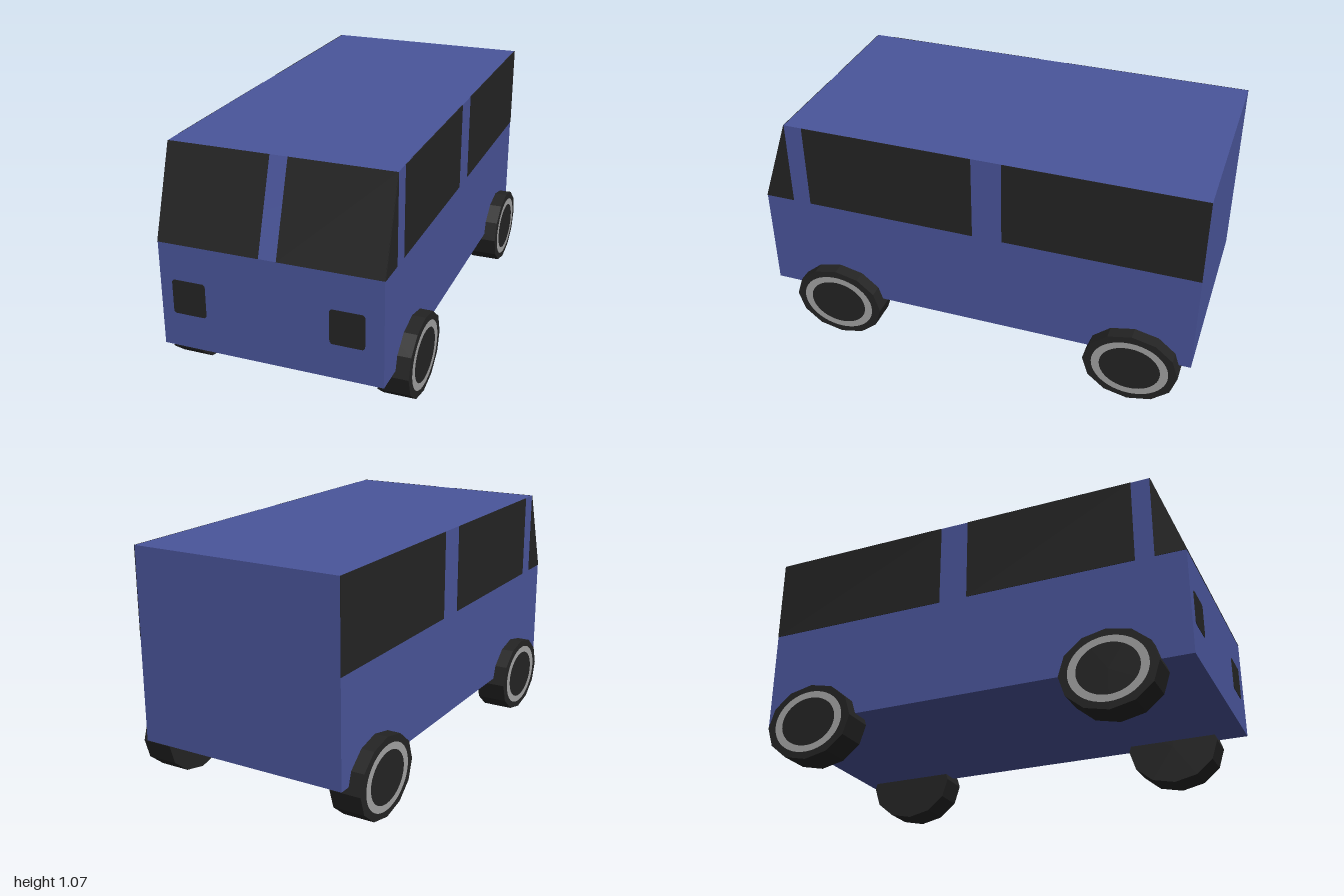
import * as THREE from 'three';

const SIDE = 0.489, FLOOR = 0.205, BELT = 0.675, ROOF = 1.065;
const FRONT = 1, ROOF_FRONT = 0.865, BACK = -1;
const PLATE = 0.004;

// Extrudes a (z, y) outline across x, centred on x = 0
function sideExtrude(points, width) {
  const shape = new THREE.Shape(points.map(([z, y]) => new THREE.Vector2(z, y)));
  const geometry = new THREE.ExtrudeGeometry(shape, { depth: width, bevelEnabled: false });
  return geometry.translate(0, 0, -width / 2).rotateY(-Math.PI / 2);
}

export function createModel() {
  const model = new THREE.Group();
  model.name = 'van';

  const paint = new THREE.MeshStandardMaterial({ name: 'blue paint', color: 0x4a559b });
  const dark = new THREE.MeshStandardMaterial({ name: 'dark glass and rubber', color: 0x242424 });
  const metal = new THREE.MeshStandardMaterial({ name: 'grey rim', color: 0xa4a4a4 });

  const add = (name, geometry, material, parent = model) => {
    const mesh = new THREE.Mesh(geometry, material);
    mesh.name = name;
    parent.add(mesh);
    return mesh;
  };

  // Body shell with a sloping windscreen
  add('body', sideExtrude([
    [BACK, FLOOR], [FRONT, FLOOR], [FRONT, BELT], [ROOF_FRONT, ROOF], [BACK, ROOF],
  ], SIDE * 2), paint);

  // Side windows, on both sides
  const pane = (z0, z1) => [[z0, BELT], [z1, BELT], [z1, ROOF], [z0, ROOF]];
  const panes = {
    quarterWindow: [[ROOF_FRONT, BELT], [FRONT, BELT], [ROOF_FRONT, ROOF]],
    frontSideWindow: pane(0, 0.78),
    rearSideWindow: pane(BACK, -0.135),
  };
  for (const [name, points] of Object.entries(panes)) {
    const geometry = sideExtrude(points, PLATE);
    for (const side of [-1, 1]) add(name, geometry, dark).position.x = side * SIDE;
  }

  // Two windscreen panes, split by a painted pillar
  const run = FRONT - ROOF_FRONT, rise = ROOF - BELT;
  const paneGeometry = new THREE.BoxGeometry(SIDE - 0.039, Math.hypot(run, rise), PLATE);
  for (const side of [-1, 1]) {
    const screen = add('windscreen', paneGeometry, dark);
    screen.position.set(side * (SIDE + 0.039) / 2, (BELT + ROOF) / 2, (FRONT + ROOF_FRONT) / 2);
    screen.rotation.x = -Math.atan2(run, rise);
  }

  // Headlights: squares with tiny clipped corners
  const w = 0.075, h = 0.077, c = 0.009;
  const lamp = new THREE.Shape([
    [-w + c, -h], [w - c, -h], [w, -h + c], [w, h - c],
    [w - c, h], [-w + c, h], [-w, h - c], [-w, -h + c],
  ].map(([x, y]) => new THREE.Vector2(x, y)));
  const lampGeometry = new THREE.ExtrudeGeometry(lamp, { depth: 0.002, bevelEnabled: false });
  for (const x of [-0.36, 0.335]) add('headlight', lampGeometry, dark).position.set(x, 0.437, FRONT);

  // Wheels: twelve-sided, slightly longer than tall, with a rim ring outside
  const RY = 0.177, RZ = 0.213, WIDTH = 0.142;
  const tyre = new THREE.CylinderGeometry(1, 1, WIDTH, 12).rotateZ(Math.PI / 2).scale(1, RY, RZ).toNonIndexed();
  tyre.computeVertexNormals();
  const rim = new THREE.RingGeometry(0.64, 0.81, 48).rotateY(Math.PI / 2).scale(1, RY, RZ);
  for (const [place, z] of [['front', 0.66], ['rear', -0.743]]) {
    for (const side of [-1, 1]) {
      const wheel = new THREE.Group();
      wheel.name = place + 'Wheel';
      wheel.position.set(side * 0.477, RY, z);
      wheel.rotation.y = side > 0 ? 0 : Math.PI;
      add('tyre', tyre, dark, wheel);
      add('rim', rim, metal, wheel).position.x = WIDTH / 2 + 0.002;
      model.add(wheel);
    }
  }

  return model;
}
